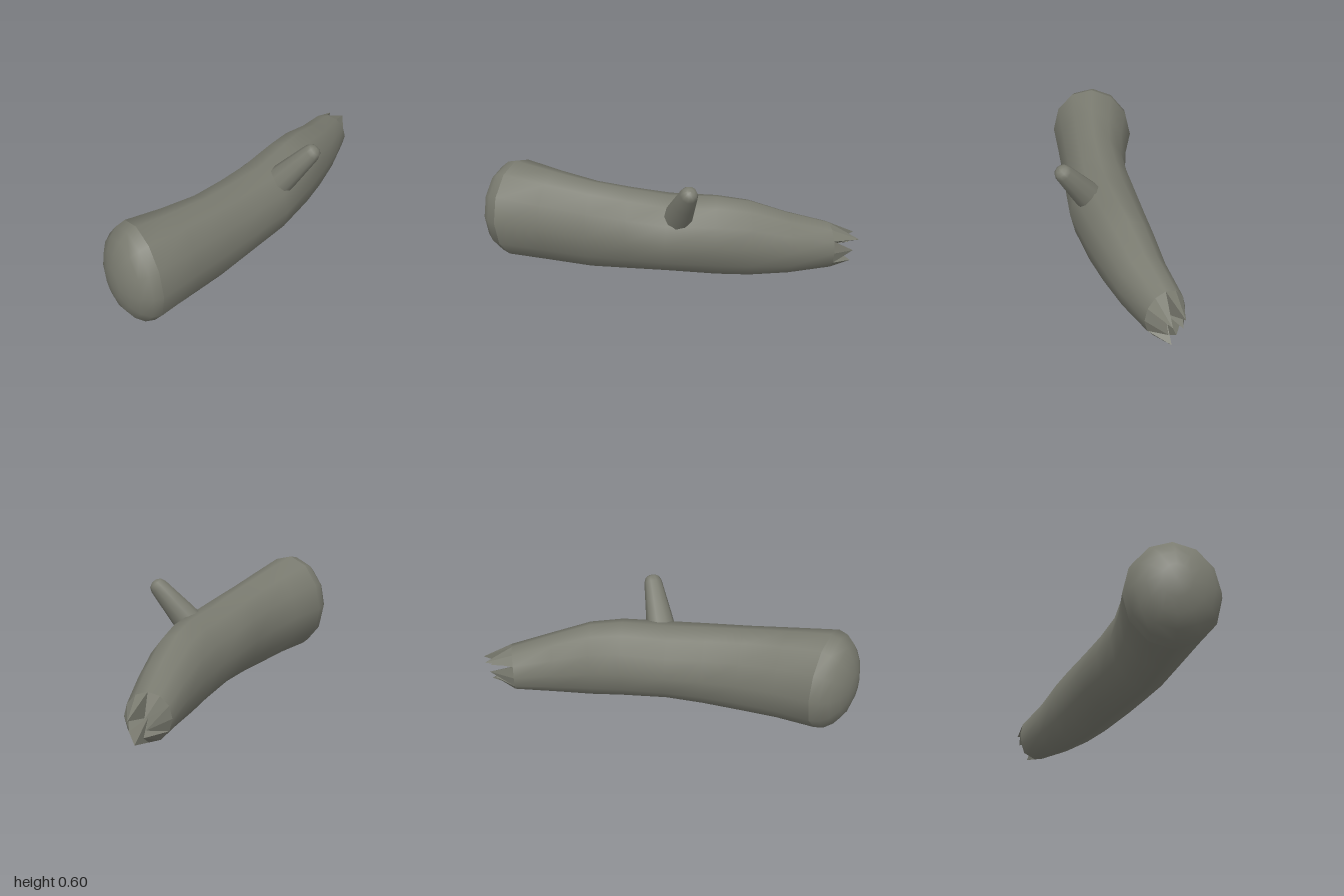
import * as THREE from 'three';
import { mergeVertices } from 'three/addons/utils/BufferGeometryUtils.js';

const SIDES = 12;

// One tilted oval ring: centre, vertical and sideways radius, heading in the ground plane
function ring([x, z, y, ry, rz, heading]) {
  const points = [];
  for (let j = 0; j < SIDES; j++) {
    const a = (j / SIDES) * Math.PI * 2;
    const side = rz * Math.sin(a);
    points.push(new THREE.Vector3(
      x - Math.sin(heading) * side,
      y + ry * Math.cos(a),
      z + Math.cos(heading) * side
    ));
  }
  return points;
}

// Smooth skin through a row of rings
function loft(rings) {
  const index = [];
  for (let i = 0; i < rings.length - 1; i++) {
    for (let j = 0; j < SIDES; j++) {
      const k = (j + 1) % SIDES;
      const a = i * SIDES + j, b = i * SIDES + k;
      index.push(a, b, a + SIDES, b, b + SIDES, a + SIDES);
    }
  }
  let geometry = new THREE.BufferGeometry().setFromPoints(rings.flat());
  geometry.setIndex(index);
  geometry = mergeVertices(geometry, 1e-5);
  geometry.computeVertexNormals();
  return geometry;
}

export function createModel() {
  const group = new THREE.Group();
  const bark = new THREE.MeshStandardMaterial({ color: 0x7a7b70 });
  bark.name = 'grey bark';

  const add = (name, geometry) => {
    const mesh = new THREE.Mesh(geometry, bark);
    mesh.name = name;
    group.add(mesh);
    return mesh;
  };

  // Bent, tapering trunk: x, z, y, ry, rz, heading
  const stations = [
    [-0.83, -0.085, 0.283, 0.27, 0.23, 0.357],
    [-0.62, -0.042, 0.265, 0.255, 0.196, 0.27],
    [-0.4, -0.007, 0.245, 0.242, 0.175, 0.12],
    [-0.2, 0.01, 0.24, 0.225, 0.178, 0.04],
    [0, 0.02, 0.235, 0.21, 0.187, 0],
    [0.25, 0.012, 0.228, 0.218, 0.17, -0.1],
    [0.42, -0.005, 0.213, 0.21, 0.155, -0.17],
    [0.62, -0.033, 0.183, 0.17, 0.134, -0.24],
    [0.835, -0.08, 0.16, 0.125, 0.113, -0.315],
  ];
  add('trunk', loft(stations.map(ring)));

  // Rounded thick end
  const [x, z, y, ry, rz, heading] = stations[0];
  const dome = [];
  for (let i = 0; i <= 5; i++) {
    const t = (1 - i / 5) * Math.PI / 2;
    const back = 0.157 * Math.sin(t), r = i === 0 ? 0 : Math.cos(t);
    dome.push(ring([
      x - Math.cos(heading) * back, z - Math.sin(heading) * back,
      y, ry * r, rz * r, heading,
    ]));
  }
  add('roundedEnd', loft(dome));

  // Splinters: one spike over each sixth of the broken end
  const last = stations[stations.length - 1];
  const rim = ring(last);
  const centre = new THREE.Vector3(last[0], last[2], last[1]);
  const tips = [
    [1, 0.2, -0.07], [0.97, 0.14, -0.06], [0.96, 0.07, -0.08],
    [0.93, 0.1, -0.11], [0.95, 0.15, -0.135], [0.97, 0.21, -0.14],
  ];
  tips.forEach((tip, i) => {
    const apex = new THREE.Vector3(...tip);
    const base = [centre, rim[2 * i], rim[2 * i + 1], rim[(2 * i + 2) % SIDES]];
    const faces = base.flatMap((p, j) => [p, base[(j + 1) % 4], apex]);
    const spike = new THREE.BufferGeometry().setFromPoints(faces);
    spike.computeVertexNormals();
    add('splinter' + (i + 1), spike);
  });

  // Tapered branch stub with a blunt rounded tip
  const start = new THREE.Vector3(0.055, 0.355, 0.105);
  const axis = new THREE.Vector3(0.083, 0.235, 0.175);
  const length = axis.length();
  const profile = [
    [0.078, 0], [0.07, 0.08], [0.059, 0.17], [0.047, length - 0.035],
    [0.036, length - 0.01], [0.018, length], [0, length + 0.003],
  ].map(([r, h]) => new THREE.Vector2(r, h));
  const branch = add('branchStub', new THREE.LatheGeometry(profile, 10));
  branch.position.copy(start);
  branch.quaternion.setFromUnitVectors(new THREE.Vector3(0, 1, 0), axis.normalize());

  return group;
}
